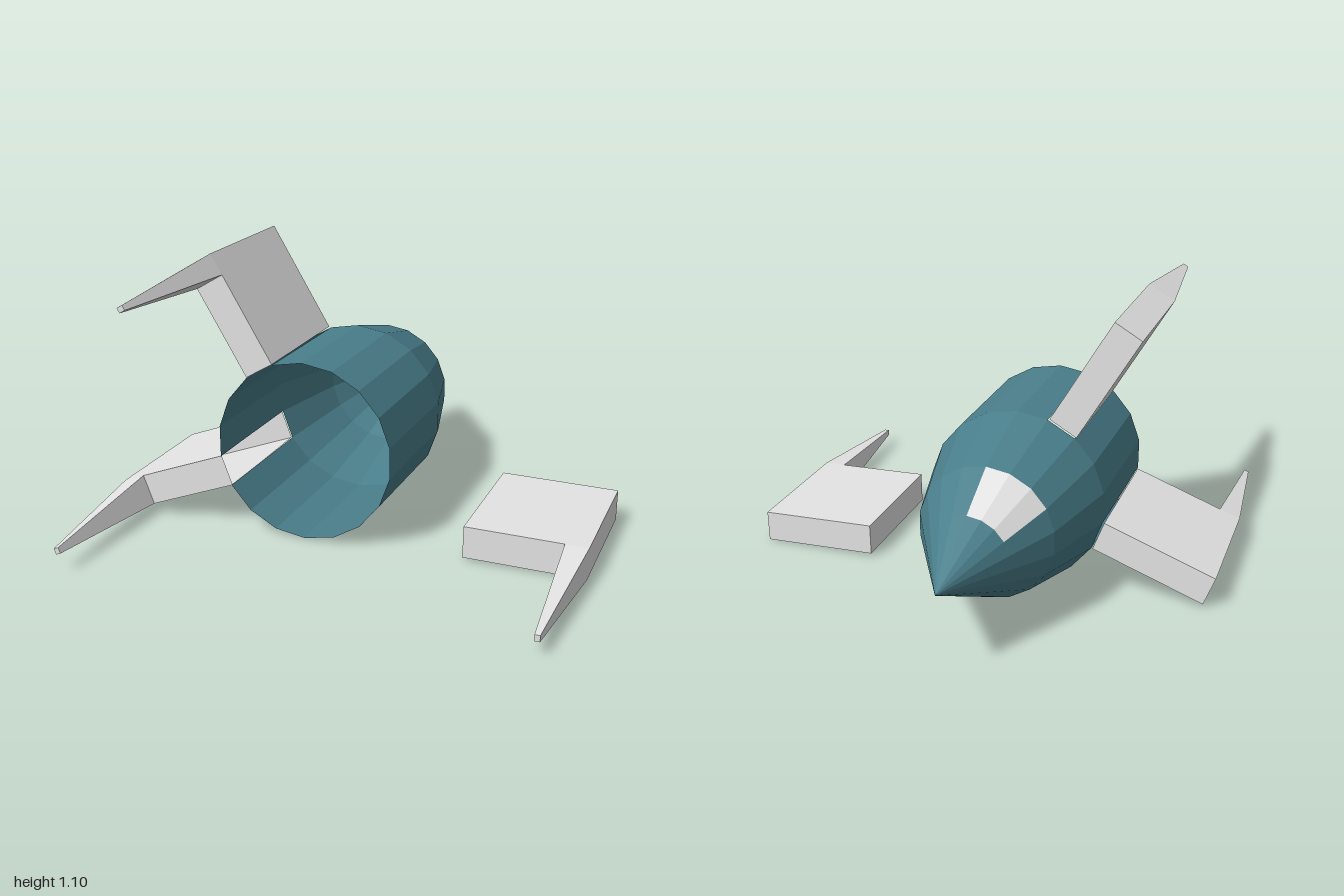
import * as THREE from 'three';

const white = new THREE.MeshStandardMaterial({ color: 0xe4e4e4, side: THREE.DoubleSide });
white.name = 'light grey';
const teal = new THREE.MeshStandardMaterial({ color: 0x4a7f8c, side: THREE.DoubleSide });
teal.name = 'teal';

const SIDES = 18;
// hull stations from the open tail to the nose: [z, radius]
const STATIONS = [[0.42, 0.355], [-0.15, 0.355], [-0.5, 0.266], [-0.7, 0.16], [-1, 0]];

// point on the hull, whose axis leans very slightly
function hullPoint([z, r], k) {
  const a = Math.PI / 2 + (k * 2 * Math.PI) / SIDES;
  return [-0.152 - 0.01 * z + r * Math.cos(a), 0.362 + 0.003 * z + r * Math.sin(a), z];
}

// flat panels of the hull chosen by a test on station and side
function hullPanels(name, material, test) {
  const pos = [];
  for (let i = 0; i < STATIONS.length - 1; i++) {
    for (let k = 0; k < SIDES; k++) {
      if (!test(i, k)) continue;
      const a = hullPoint(STATIONS[i], k), b = hullPoint(STATIONS[i], k + 1);
      const c = hullPoint(STATIONS[i + 1], k + 1), d = hullPoint(STATIONS[i + 1], k);
      pos.push(...a, ...c, ...b);
      if (STATIONS[i + 1][1] > 0) pos.push(...a, ...d, ...c);
    }
  }
  const geo = new THREE.BufferGeometry();
  geo.setAttribute('position', new THREE.Float32BufferAttribute(pos, 3));
  geo.computeVertexNormals();
  const mesh = new THREE.Mesh(geo, material);
  mesh.name = name;
  return mesh;
}

// fin along local +x: a plate, then an outer rail that tapers to a spike toward +z
function makeFin({ name, x, y, z, angle, thick, open, painted }) {
  const fin = new THREE.Group();
  fin.name = name;

  const plateGeo = new THREE.BoxGeometry(0.382, thick, 0.565);
  plateGeo.translate(0.191, 0, 0.2825);
  // an attached fin is hollow where it meets the hull
  if (open) plateGeo.groups = plateGeo.groups.filter((g) => g.materialIndex !== 1);
  const plate = new THREE.Mesh(plateGeo, Array(6).fill(white));
  plate.name = 'finPlate';

  const box = new THREE.BoxGeometry(0.09, thick, 2, 1, 1, 2);
  const p = box.attributes.position;
  for (let i = 0; i < p.count; i++) {
    const step = Math.round(p.getZ(i)) + 1;
    p.setZ(i, [0, 0.565, 1.153][step]);
    if (step === 2) p.setXY(i, Math.sign(p.getX(i)) * 0.01, Math.sign(p.getY(i)) * 0.012);
  }
  box.translate(0.427, 0, 0);
  const spikeGeo = box.toNonIndexed();
  spikeGeo.computeVertexNormals();
  const mats = Array(6).fill(white);
  if (painted) mats[2] = teal;
  const spike = new THREE.Mesh(spikeGeo, mats);
  spike.name = 'finSpike';

  fin.add(plate, spike);
  fin.position.set(x, y, z);
  fin.rotation.z = THREE.MathUtils.degToRad(angle);
  return fin;
}

export function createModel() {
  const model = new THREE.Group();
  model.name = 'spaceship';

  const isWindow = (i, k) => i === 2 && k < 3;
  const isFinRoot = (i, k) => i === 0 && (k === 1 || k === 5);
  model.add(hullPanels('hull', teal, (i, k) => !isWindow(i, k) && !isFinRoot(i, k)));
  model.add(hullPanels('cockpitWindow', white, isWindow));

  model.add(makeFin({ name: 'upperFin', x: -0.333, y: 0.667, z: -0.15, angle: 120.5, thick: 0.124, open: true }));
  model.add(makeFin({ name: 'lowerFin', x: -0.485, y: 0.241, z: -0.153, angle: 200.5, thick: 0.124, open: true, painted: true }));
  model.add(makeFin({ name: 'detachedFin', x: 0.474, y: 0.08, z: -0.177, angle: -1.2, thick: 0.126 }));

  return model;
}
